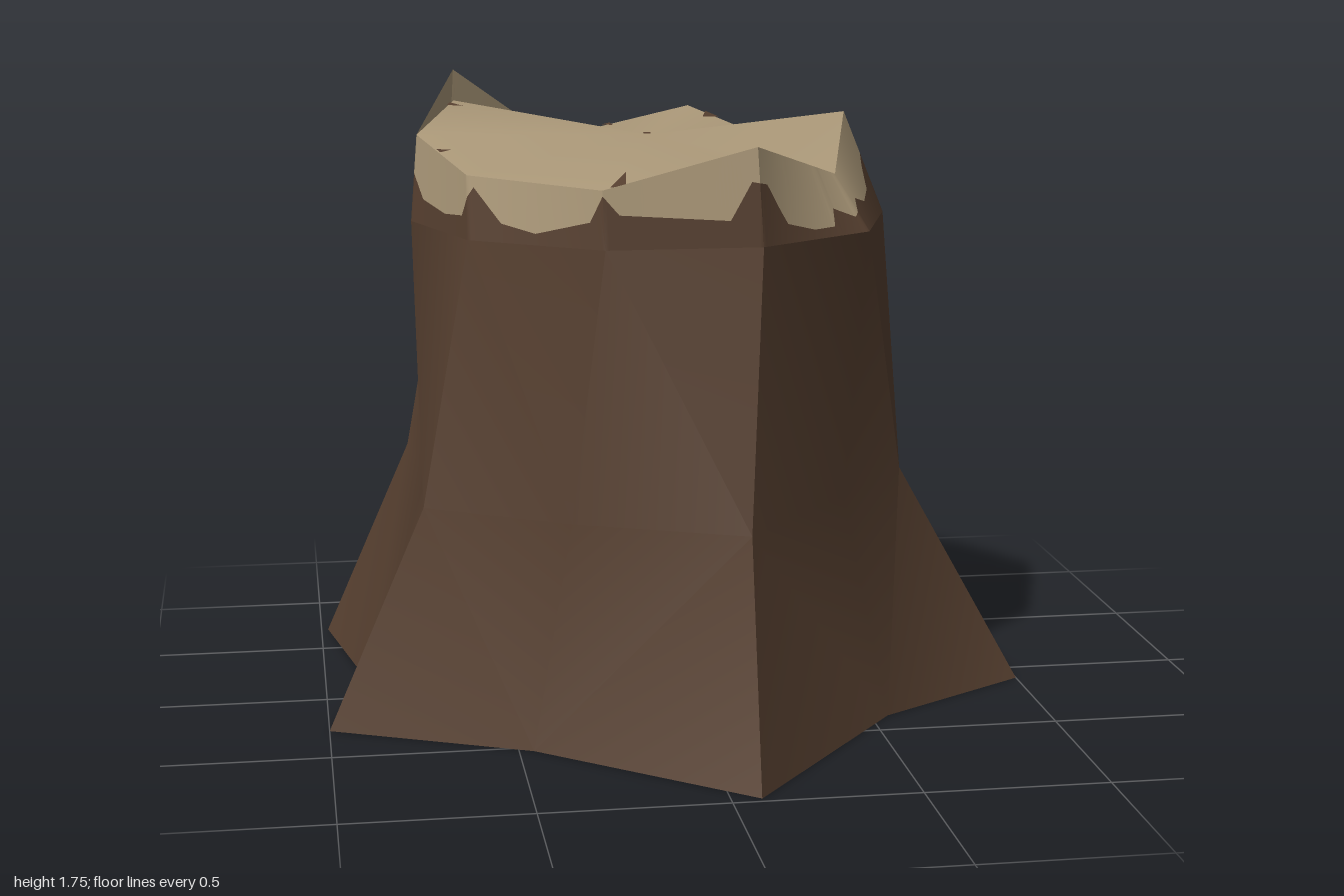
import * as THREE from 'three';
import { toCreasedNormals } from 'three/addons/utils/BufferGeometryUtils.js';

const bark = new THREE.MeshStandardMaterial({ color: 0x574030, side: THREE.DoubleSide });
bark.name = 'bark brown';
const wood = new THREE.MeshStandardMaterial({ color: 0xad9a7a, side: THREE.DoubleSide });
wood.name = 'cut wood tan';

// Ten-cornered cross-sections [x, z], alternating root tip and valley
const base = [[1, 0.10], [0.55, 0.38], [0.08, 0.98], [-0.46, 0.53], [-1, 0.28],
  [-0.88, -0.16], [-0.98, -0.70], [-0.28, -0.77], [0.30, -0.98], [0.48, -0.50]];
const waist = [[0.665, -0.01], [0.43, 0.31], [0.10, 0.71], [-0.35, 0.51], [-0.73, 0.27],
  [-0.70, -0.12], [-0.73, -0.54], [-0.27, -0.69], [0.20, -0.78], [0.43, -0.42]];
const shoulder = Array.from({ length: 10 }, (_, i) => {
  const a = (i * Math.PI) / 5;
  return [-0.055 + 0.675 * Math.cos(a), -0.08 + 0.675 * Math.sin(a)];
});
// Jagged broken rim [x, y, z]
const rim = [[0.50, 1.65, -0.07], [0.41, 1.51, 0.24], [0.14, 1.62, 0.54], [-0.27, 1.515, 0.55],
  [-0.60, 1.53, 0.29], [-0.71, 1.60, -0.09], [-0.58, 1.75, -0.46], [-0.27, 1.52, -0.69],
  [0.14, 1.62, -0.63], [0.41, 1.51, -0.46]];
const centre = [-0.06, 1.59, -0.09];

// Height of the ragged bark edge, by position round the rim
const edge = [[0, 1.53], [0.12, 1.50], [0.3, 1.44], [0.6, 1.42], [0.85, 1.44], [1.05, 1.40], [1.25, 1.43],
  [1.3, 1.385], [1.5, 1.385], [1.75, 1.41], [1.92, 1.52], [2.05, 1.53], [2.2, 1.43], [2.55, 1.44],
  [2.9, 1.45], [3, 1.50], [3.1, 1.43], [3.5, 1.39], [3.75, 1.41], [3.95, 1.50], [4.1, 1.42], [4.4, 1.41],
  [4.8, 1.43], [5.05, 1.51], [5.25, 1.42], [5.7, 1.40], [5.95, 1.52], [6.15, 1.43], [6.6, 1.39],
  [7, 1.45], [7.3, 1.40], [7.65, 1.42], [7.95, 1.51], [8.15, 1.43], [8.4, 1.41], [8.7, 1.44],
  [9, 1.47], [9.15, 1.39], [9.47, 1.37], [9.5, 1.55], [9.53, 1.37], [9.75, 1.43], [10, 1.53]];

const mix = (a, b, k) => a.map((v, i) => v + (b[i] - v) * k);
const at = (ring, t) => mix(ring[Math.floor(t) % 10], ring[(Math.floor(t) + 1) % 10], t % 1);
const lift = (ring, y) => ring.map(([x, z]) => [x, y, z]);
const gap = (a, b) => Math.hypot(...a.map((v, i) => v - b[i]));

function edgeHeight(t) {
  const i = Math.max(1, edge.findIndex((e) => t <= e[0]));
  const [a, b] = [edge[i - 1], edge[i]];
  return a[1] + ((b[1] - a[1]) * (t - a[0])) / (b[0] - a[0]);
}

// Surface from a list of triangles, soft in the valleys and sharp on the ridges
function mesh(name, tris, material) {
  const g = new THREE.BufferGeometry();
  g.setAttribute('position', new THREE.Float32BufferAttribute(tris.flat(2), 3));
  const m = new THREE.Mesh(toCreasedNormals(g, 0.65), material);
  m.name = name;
  return m;
}

// Wall between two closed rings of equal length, split along the shorter diagonal
function wall(low, high) {
  return low.flatMap((a, i) => {
    const j = (i + 1) % low.length;
    const b = low[j], c = high[j], d = high[i];
    return gap(a, c) < gap(b, d) ? [[a, d, c], [a, c, b]] : [[a, d, b], [d, c, b]];
  });
}

export function createModel() {
  const group = new THREE.Group();
  group.name = 'treeStump';
  const rings = [lift(base, 0), lift(waist, 0.62), lift(shoulder, 1.36)];

  // Trunk with flared roots, and its underside
  group.add(mesh('trunk', [...wall(rings[0], rings[1]), ...wall(rings[1], rings[2])], bark));
  group.add(mesh('underside', rings[0].map((p, i) => [[-0.05, 0, -0.08], p, rings[0][(i + 1) % 10]]), bark));

  // Collar: bark below the ragged edge, bare wood above
  const low = [], middle = [], high = [];
  for (let i = 0; i < 400; i++) {
    const t = i / 40, a = at(rings[2], t), b = at(rim, t);
    const k = Math.min(0.96, (edgeHeight(t) - a[1]) / (b[1] - a[1]));
    low.push(a);
    middle.push(mix(a, b, k));
    high.push(b);
  }
  group.add(mesh('barkCollar', wall(low, middle), bark));
  group.add(mesh('woodCollar', wall(middle, high), wood));

  // Smooth cut top, meeting the rim except below its two splintered peaks
  const drop = { 2: 0.06, 6: 0.09 };
  const capRim = rim.map(([x, y, z], i) => [x, y - (drop[i] ?? 0), z]);
  const cap = new THREE.BufferGeometry();
  cap.setAttribute('position', new THREE.Float32BufferAttribute([centre, ...capRim].flat(), 3));
  cap.setIndex(capRim.flatMap((_, i) => [0, ((i + 1) % 10) + 1, i + 1]));
  cap.computeVertexNormals();
  const top = new THREE.Mesh(cap, wood);
  top.name = 'cutTop';
  group.add(top);

  // Tapered bark cracks running in from the rim: [position, half width, inner reach]
  const onCap = (t, r) => {
    const p = mix(centre, at(capRim, t), r);
    return [p[0], p[1] + 0.005, p[2]];
  };
  const cracks = [[7.4, 0.03, 0.82], [8.25, 0.07, 0.85], [9.5, 0.04, 0.86], [1.35, 0.07, 0.78],
    [2.9, 0.05, 0.74], [5.85, 0.04, 0.92], [4.55, 0.04, 0.94]];
  group.add(mesh('cracks', cracks.map(([t, w, r]) => [onCap(t, r), onCap(t + w, 1), onCap(t - w, 1)]), bark));

  // Small heart mark in the middle
  const heart = [0, 1, 2, 3, 4].map((i) => [onCap(0, 0), onCap((i * 2 + 2) % 10, 0.022), onCap(i * 2, 0.022)]);
  group.add(mesh('heartMark', heart, bark));
  return group;
}
